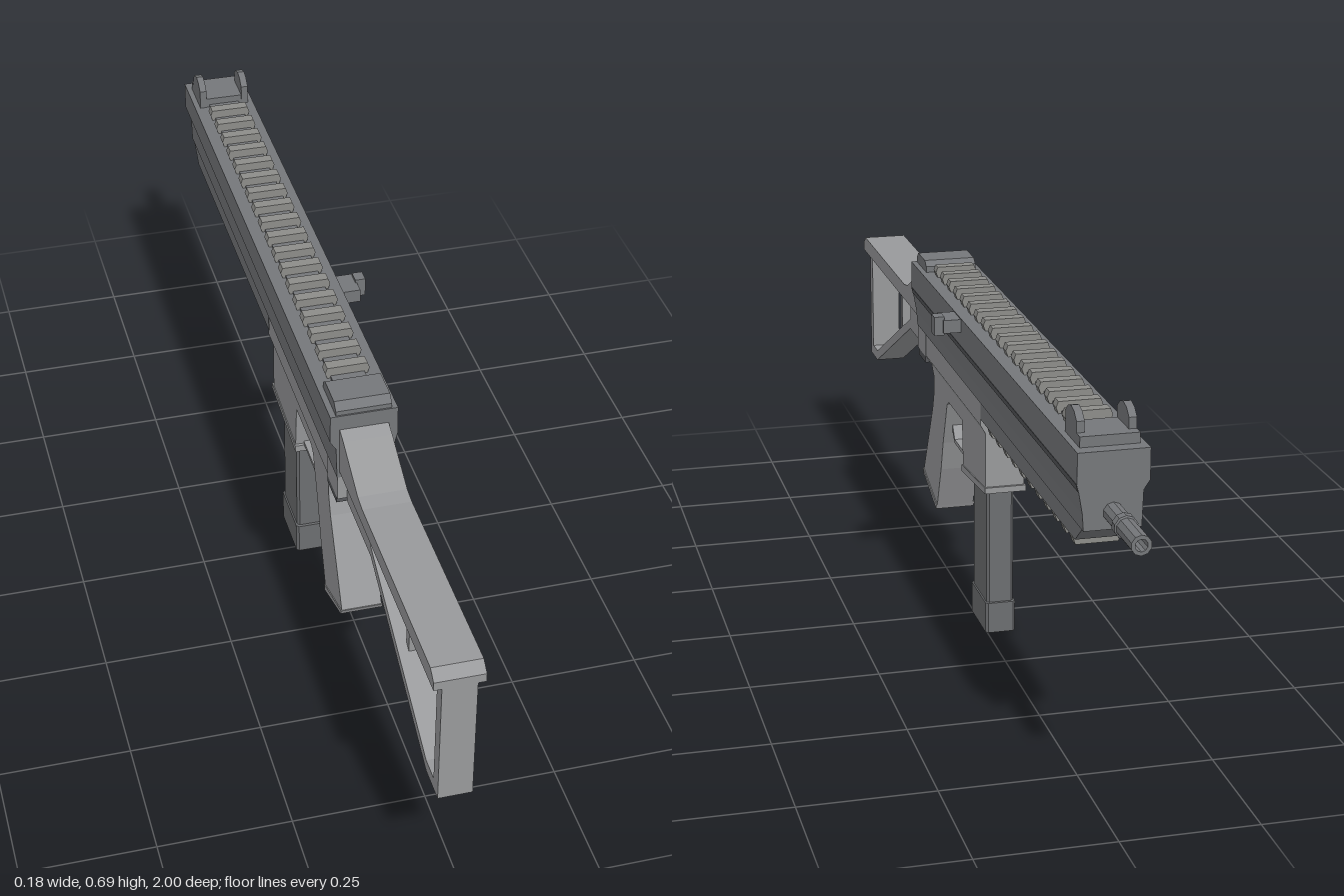
import * as THREE from 'three';

const CX = -0.027; // centre plane of the body
const paint = (color) => new THREE.MeshStandardMaterial({ color, flatShading: true });
const BODY = paint(0x75777a);
const FRAME = paint(0x98999b);
const MAGAZINE = paint(0x6c6e70);
const TEETH = paint(0x8c8c89);
const DARK = paint(0x55575a);

export function createModel() {
  const model = new THREE.Group();

  const add = (name, geo, mat, parent = model) => {
    const mesh = new THREE.Mesh(geo, mat);
    mesh.name = name;
    parent.add(mesh);
  };
  const group = (name) => {
    const g = new THREE.Group();
    g.name = name;
    model.add(g);
    return g;
  };
  // Box from its limits
  const box = (name, mat, x0, x1, y0, y1, z0, z1, parent) => add(name,
    new THREE.BoxGeometry(x1 - x0, y1 - y0, z1 - z0)
      .translate((x0 + x1) / 2, (y0 + y1) / 2, (z0 + z1) / 2), mat, parent);
  const toPoints = (pts) => pts.map(([a, b]) => new THREE.Vector2(a, b));
  // Side profile given as [z, y], extruded across x about centre cx
  const side = (name, mat, pts, width, parent, cx = CX, hole) => {
    const s = new THREE.Shape(toPoints(pts));
    if (hole) s.holes.push(new THREE.Path(toPoints(hole)));
    add(name, new THREE.ExtrudeGeometry(s, { depth: width, bevelEnabled: false })
      .translate(0, 0, -width / 2).rotateY(-Math.PI / 2).translate(cx, 0, 0), mat, parent);
  };
  // Cross-section given as [x, y], extruded from z0 to z1
  const section = (name, mat, pts, z0, z1, parent) => add(name,
    new THREE.ExtrudeGeometry(new THREE.Shape(toPoints(pts)), { depth: z1 - z0, bevelEnabled: false })
      .translate(0, 0, z0), mat, parent);

  // Upper body: wide top, tapering sides, dark seam on the left
  section('upperReceiver', BODY, [
    [-0.09, 0.633], [-0.09, 0.577], [-0.079, 0.56], [-0.077, 0.495],
    [0.024, 0.495], [0.026, 0.525], [0.033, 0.565], [0.036, 0.578], [0.036, 0.633],
  ], -0.845, 0.405);
  section('sideSeam', DARK, [
    [0.02, 0.565], [0.034, 0.565], [0.037, 0.578], [0.02, 0.578],
  ], -0.844, 0.404);
  side('handguardLower', BODY, [
    [-0.13, 0.497], [-0.13, 0.46], [-0.79, 0.46], [-0.835, 0.497],
  ], 0.098);
  section('lowerReceiver', FRAME, [
    [-0.075, 0.497], [-0.075, 0.447], [-0.066, 0.43], [0.012, 0.43], [0.022, 0.447], [0.022, 0.497],
  ], -0.136, 0.334);
  box('rearPinBlock', FRAME, -0.076, 0.023, 0.445, 0.497, 0.334, 0.405);
  box('rearPinPad', DARK, -0.076, 0.023, 0.432, 0.445, 0.334, 0.398);

  // Grip, frame and magazine well in one outline
  side('gripAndMagazineWell', FRAME, [
    [0.334, 0.49], [0.334, 0.44], [0.302, 0.408], [0.304, 0.375], [0.318, 0.335], [0.35, 0.275],
    [0.404, 0.172], [0.28, 0.13], [0.242, 0.225], [0.222, 0.29], [0.185, 0.385], [0.17, 0.395],
    [0.055, 0.395], [0.045, 0.289], [-0.136, 0.31], [-0.136, 0.49],
  ], 0.078);
  side('gripBase', FRAME, [[0.406, 0.172], [0.402, 0.162], [0.283, 0.122], [0.279, 0.133]], 0.082);
  side('magazineWellLip', FRAME, [[0.052, 0.302], [0.052, 0.288], [-0.143, 0.308], [-0.143, 0.32]], 0.082);

  // Trigger and its guard
  side('triggerGuard', FRAME, [
    [0.22, 0.335], [0.19, 0.3], [0.04, 0.3], [0.04, 0.308], [0.187, 0.308], [0.212, 0.343],
  ], 0.045);
  side('trigger', DARK, [
    [0.158, 0.4], [0.154, 0.37], [0.138, 0.325], [0.128, 0.325], [0.134, 0.365], [0.125, 0.4],
  ], 0.02);

  // Magazine with chamfered corners and a thicker foot
  const chamferRect = (hx, z0, z1, c) => [
    [CX - hx + c, z0], [CX + hx - c, z0], [CX + hx, z0 + c], [CX + hx, z1 - c],
    [CX + hx - c, z1], [CX - hx + c, z1], [CX - hx, z1 - c], [CX - hx, z0 + c],
  ];
  const upright = (name, hx, z0, z1, y0, y1) => add(name, new THREE.ExtrudeGeometry(
    new THREE.Shape(toPoints(chamferRect(hx, -z1, -z0, 0.005))), { depth: y1 - y0, bevelEnabled: false })
    .rotateX(-Math.PI / 2).translate(0, y0, 0), MAGAZINE);
  upright('magazine', 0.027, -0.103, 0.008, 0.03, 0.32);
  upright('magazineFoot', 0.03, -0.109, 0.014, 0, 0.063);

  // Skeleton stock: wide top bar over a narrow triangular frame
  const stock = group('stock');
  side('stockTopBar', FRAME, [
    [0.405, 0.603], [0.43, 0.594], [0.53, 0.546], [0.56, 0.541], [0.98, 0.541], [1, 0.525], [1, 0.508],
    [0.405, 0.508],
  ], 0.091, stock);
  side('stockFrame', FRAME, [
    [0.405, 0.51], [0.405, 0.438], [0.568, 0.438], [0.932, 0.257], [1, 0.257], [1, 0.51],
  ], 0.062, stock, CX, [
    [0.565, 0.506], [0.974, 0.506], [0.974, 0.28], [0.93, 0.28], [0.565, 0.461],
  ]);
  box('stockPost', FRAME, CX - 0.012, CX + 0.012, 0.365, 0.51, 0.735, 0.752, stock);

  // Top and bottom rails
  const rail = (name, count, zFirst, yEnd, yRoot) => {
    const g = group(name);
    const [lo, hi] = [Math.min(yEnd, yRoot), Math.max(yEnd, yRoot)];
    const mid = (lo + hi) / 2;
    for (let i = 0; i < count; i++) {
      const z = zFirst - i * 0.0567;
      section(name + 'Tooth', TEETH, [
        [CX - 0.038, lo], [CX + 0.038, lo], [CX + 0.042, mid],
        [CX + 0.038, hi], [CX - 0.038, hi], [CX - 0.042, mid],
      ], z - 0.011, z + 0.011, g);
    }
    return g;
  };
  const topRail = rail('topRail', 18, 0.277, 0.655, 0.633);
  box('topRailStrip', BODY, CX - 0.032, CX + 0.032, 0.63, 0.638, -0.74, 0.32, topRail);
  const bottomRail = rail('bottomRail', 11, -0.178, 0.437, 0.46);
  box('bottomRailStrip', BODY, CX - 0.03, CX + 0.03, 0.452, 0.462, -0.77, -0.13, bottomRail);

  // Sights
  side('rearSight', BODY, [
    [0.402, 0.63], [0.402, 0.642], [0.388, 0.655], [0.325, 0.655], [0.312, 0.645], [0.312, 0.63],
  ], 0.104);
  const frontSight = group('frontSight');
  box('frontSightBase', BODY, CX - 0.052, CX + 0.052, 0.63, 0.652, -0.82, -0.735, frontSight);
  for (const s of [-1, 1]) {
    side('frontSightEar', BODY, [
      [-0.733, 0.633], [-0.733, 0.672], [-0.748, 0.685], [-0.766, 0.69],
      [-0.785, 0.685], [-0.8, 0.672], [-0.8, 0.633],
    ], 0.014, frontSight, CX + s * 0.045);
  }

  // Charging handle on the left side
  const handle = group('chargingHandle');
  box('handleStem', BODY, 0.03, 0.07, 0.605, 0.631, -0.036, 0.022, handle);
  box('handleKnob', BODY, 0.067, 0.087, 0.6, 0.637, -0.03, -0.004, handle);

  // Hollow barrel with a raised ring
  const barrel = [
    [0, 0.83], [0.018, 0.83], [0.018, 0.9], [0.021, 0.902], [0.021, 0.918], [0.018, 0.92],
    [0.018, 1], [0.011, 1], [0.011, 0.95], [0, 0.95],
  ];
  add('barrel', new THREE.LatheGeometry(toPoints(barrel), 10)
    .rotateX(-Math.PI / 2).translate(CX, 0.525, 0), BODY);

  return model;
}
